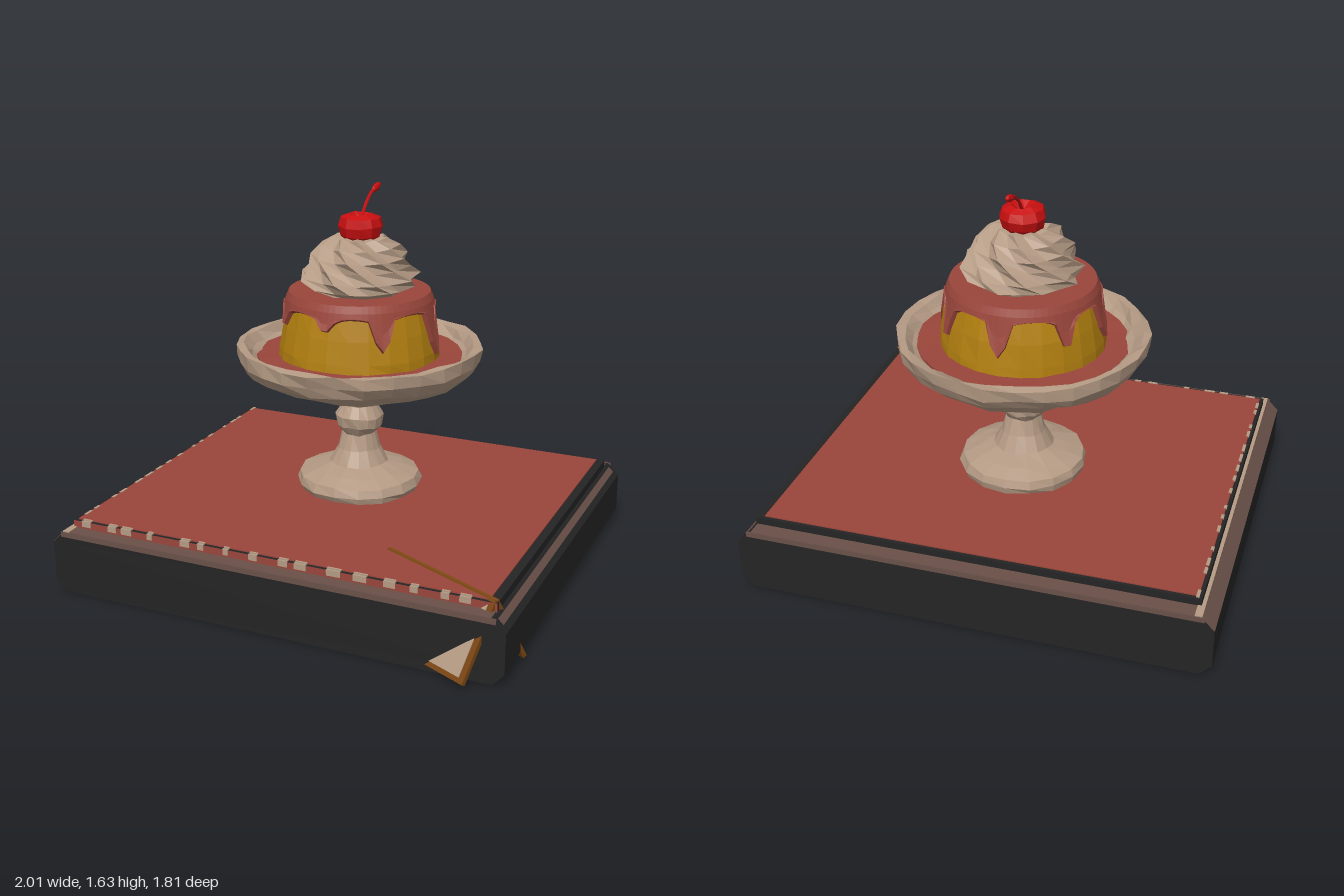
import * as THREE from 'three';

const mat = (name, color, extra = {}) => {
  const m = new THREE.MeshStandardMaterial({ color, flatShading: true, ...extra });
  m.name = name;
  return m;
};

// Repeatable noise in -1..1
const noise = (i, j) => {
  const s = Math.sin(i * 127.1 + j * 311.7 + 5.3) * 43758.5453;
  return (s - Math.floor(s)) * 2 - 1;
};

// Surface of stacked rings; point(i, a, j) gives [radius, y, twist]
function rings(rows, n, point) {
  const pos = [], index = [];
  for (let i = 0; i < rows; i++) {
    for (let j = 0; j < n; j++) {
      const a = (j / n) * Math.PI * 2;
      const [r, y, twist = 0] = point(i, a, j);
      pos.push(r * Math.cos(a + twist), y, r * Math.sin(a + twist));
    }
  }
  for (let i = 0; i < rows - 1; i++) {
    for (let j = 0; j < n; j++) {
      const k = (j + 1) % n, p = i * n + j, q = i * n + k;
      index.push(p, p + n, q + n, p, q + n, q);
    }
  }
  const g = new THREE.BufferGeometry();
  g.setAttribute('position', new THREE.Float32BufferAttribute(pos, 3));
  g.setIndex(index);
  g.computeVertexNormals();
  return g;
}

// Turned profile with a slightly hand-cut surface
const turned = (profile, n, rough) => rings(profile.length, n, (i, a, j) => {
  const [r, y] = profile[i];
  return r === 0 ? [0, y] : [r + noise(i, j) * rough, y + noise(j, i + 9) * rough];
});

export function createModel() {
  const model = new THREE.Group();
  const black = mat('black', 0x242424);
  const red = mat('caramelRed', 0x9a463b);
  const cream = mat('cream', 0xb49a84);
  const brown = mat('wornBrown', 0x6a5049);
  const yellow = mat('custardYellow', 0xb38010);
  const cherryRed = mat('cherryRed', 0xc80f10);
  const wood = mat('signWood', 0x7a4512);

  const add = (parent, name, geometry, material, x = 0, y = 0, z = 0) => {
    const m = new THREE.Mesh(geometry, material);
    m.name = name;
    m.position.set(x, y, z);
    parent.add(m);
    return m;
  };
  // Box given by its limits
  const block = (parent, name, material, x0, x1, y0, y1, z0, z1) =>
    add(parent, name, new THREE.BoxGeometry(x1 - x0, y1 - y0, z1 - z0), material,
      (x0 + x1) / 2, (y0 + y1) / 2, (z0 + z1) / 2);

  // Base with bevels along both sides
  const base = new THREE.Group();
  base.name = 'base';
  model.add(base);
  const section = new THREE.Shape([
    [-0.95, 0], [0.94, 0], [0.99, 0.05], [0.99, 0.22],
    [0.94, 0.27], [-0.95, 0.27], [-1, 0.22], [-1, 0.05],
  ].map(([x, y]) => new THREE.Vector2(x, y)));
  const body = new THREE.ExtrudeGeometry(section, { depth: 1.72, bevelEnabled: false });
  add(base, 'baseBody', body, black, 0, 0, -0.9);

  // Worn edges
  block(base, 'wornTop', brown, -0.95, 0.93, 0.269, 0.275, -0.9, 0.82);
  block(base, 'wornLeftLine', cream, -0.95, -0.92, 0.27, 0.278, -0.9, 0.82);
  add(base, 'wornLeftBevel', new THREE.BoxGeometry(0.07, 0.004, 1.72), brown, -0.975, 0.245, -0.04)
    .rotation.z = Math.PI / 4;
  add(base, 'wornRightBevel', new THREE.BoxGeometry(0.03, 0.004, 1.66), brown, 0.959, 0.251, -0.04)
    .rotation.z = -Math.PI / 4;
  block(base, 'wornFrontEdge', brown, -0.96, 0.95, 0.25, 0.273, 0.817, 0.822);
  block(base, 'wornBackEdge', brown, -0.96, 0.95, 0.25, 0.273, -0.902, -0.897);

  // Inset tabletop: side faces black, front face red
  block(base, 'topSlab', [black, black, black, black, red, black], -0.935, 0.935, 0.27, 0.306, -0.835, 0.76);
  block(base, 'topPanel', red, -0.92, 0.9, 0.303, 0.311, -0.82, 0.745);

  // Paint chips along the front and left edges
  for (let i = 0; i < 16; i++) {
    const w = 0.012 + 0.012 * (noise(i, 1) + 1);
    const x = -0.88 + i * 0.114 + noise(i, 2) * 0.03;
    block(base, 'frontChip', cream, x - w, x + w, 0.283, 0.309, 0.755, 0.763);
    block(base, 'frontTopChip', cream, x - w, x + w, 0.304, 0.3125, 0.742, 0.75);
    const z = -0.78 + i * 0.098 + noise(i, 3) * 0.03;
    block(base, 'leftChip', cream, -0.923, -0.91, 0.304, 0.3125, z - w, z + w);
  }

  // Folding sign sunk into the front corner
  const sign = new THREE.Group();
  sign.name = 'foldingSign';
  sign.position.set(0.66, 0.312, 0.62);
  sign.rotation.y = -0.449;
  model.add(sign);
  for (const turn of [0, Math.PI]) {
    const side = new THREE.Group();
    side.name = 'signBoard';
    side.rotation.set(-0.52, turn, 0, 'YXZ');
    sign.add(side);
    add(side, 'signFrame', new THREE.BoxGeometry(0.6, 0.335, 0.018), wood, 0, -0.168, 0);
    add(side, 'signPanel', new THREE.BoxGeometry(0.55, 0.295, 0.006), cream, 0, -0.168, 0.009);
  }

  // Dessert on its stand
  const dessert = new THREE.Group();
  dessert.name = 'dessert';
  dessert.position.set(-0.003, 0, -0.108);
  model.add(dessert);

  add(dessert, 'stand', turned([
    [0, 0.311], [0.265, 0.312], [0.278, 0.34], [0.265, 0.375], [0.2, 0.4], [0.13, 0.425],
    [0.095, 0.49], [0.075, 0.56], [0.1, 0.595], [0.106, 0.64], [0.075, 0.69],
    [0.09, 0.74], [0.13, 0.785], [0.13, 0.81],
  ], 16, 0.004), cream);

  add(dessert, 'dish', turned([
    [0, 0.787], [0.22, 0.79], [0.45, 0.828], [0.5, 0.865], [0.525, 0.91], [0.534, 0.965],
    [0.5, 0.965], [0.47, 0.93], [0.42, 0.905], [0, 0.903],
  ], 28, 0.008), cream);

  add(dessert, 'saucePool', turned([[0.45, 0.9], [0.448, 0.922], [0, 0.925]], 28, 0.004), red);

  add(dessert, 'custard', turned([
    [0.35, 0.92], [0.347, 0.96], [0.332, 1.06], [0.308, 1.17], [0.29, 1.19], [0, 1.19],
  ], 24, 0.002), yellow);

  // Sauce cap with drips: [angle in degrees, drip length]
  const drips = [[0, 0.18], [50, 0.12], [92, 0.04], [138, 0.06], [180, 0.15],
    [222, 0.1], [270, 0.13], [318, 0.12]];
  const sauceEdge = (a) => drips.reduce((y, [deg, length]) => {
    let d = a - THREE.MathUtils.degToRad(deg);
    d = Math.atan2(Math.sin(d), Math.cos(d));
    return y - length * Math.exp(-((d / 0.11) ** 4)) - 0.02 * Math.exp(-((d / 0.25) ** 2));
  }, 1.145);
  const custardRadius = (y) => 0.308 + (1.17 - y) * 0.2;
  add(dessert, 'sauceCap', rings(6, 72, (i, a) => {
    const edge = sauceEdge(a), mid = (edge + 1.17) / 2, low = edge + 0.015;
    return [
      [custardRadius(edge) - 0.012, edge], [custardRadius(low) + 0.018, low],
      [custardRadius(mid) + 0.012, mid], [0.318, 1.175], [0.305, 1.205], [0, 1.207],
    ][i];
  }), red);

  // Whipped cream: ridged rings that twist as they rise
  const swirl = [[0.19, 1.195], [0.245, 1.225], [0.25, 1.262], [0.215, 1.305], [0.2, 1.345],
    [0.165, 1.39], [0.11, 1.425], [0, 1.435]];
  add(dessert, 'whippedCream', rings(swirl.length, 18, (i, a, j) => {
    const [r, y] = swirl[i], ridge = j % 2;
    return [r * (ridge ? 1.04 : 0.88) + (r ? noise(i, j) * 0.005 : 0),
      y + (ridge && r ? 0.012 : 0), i * 0.27];
  }), cream);

  // Cherry with a dimple and a bent stalk
  add(dessert, 'cherry', turned([
    [0, 1.405], [0.06, 1.41], [0.088, 1.44], [0.098, 1.48], [0.085, 1.515],
    [0.05, 1.53], [0.015, 1.508], [0, 1.508],
  ], 10, 0.003), cherryRed, 0, 0, -0.008);
  const stalk = new THREE.CatmullRomCurve3([
    [0, 1.5, -0.01], [0, 1.555, -0.055], [0, 1.6, -0.115], [0, 1.625, -0.2],
  ].map((p) => new THREE.Vector3(...p)));
  add(dessert, 'cherryStalk', new THREE.TubeGeometry(stalk, 8, 0.007, 5), cherryRed);
  const tip = add(dessert, 'stalkTip', new THREE.SphereGeometry(1, 6, 4), cherryRed, 0, 1.617, -0.175);
  tip.scale.set(0.014, 0.016, 0.045);
  tip.rotation.x = 0.25;

  return model;
}
